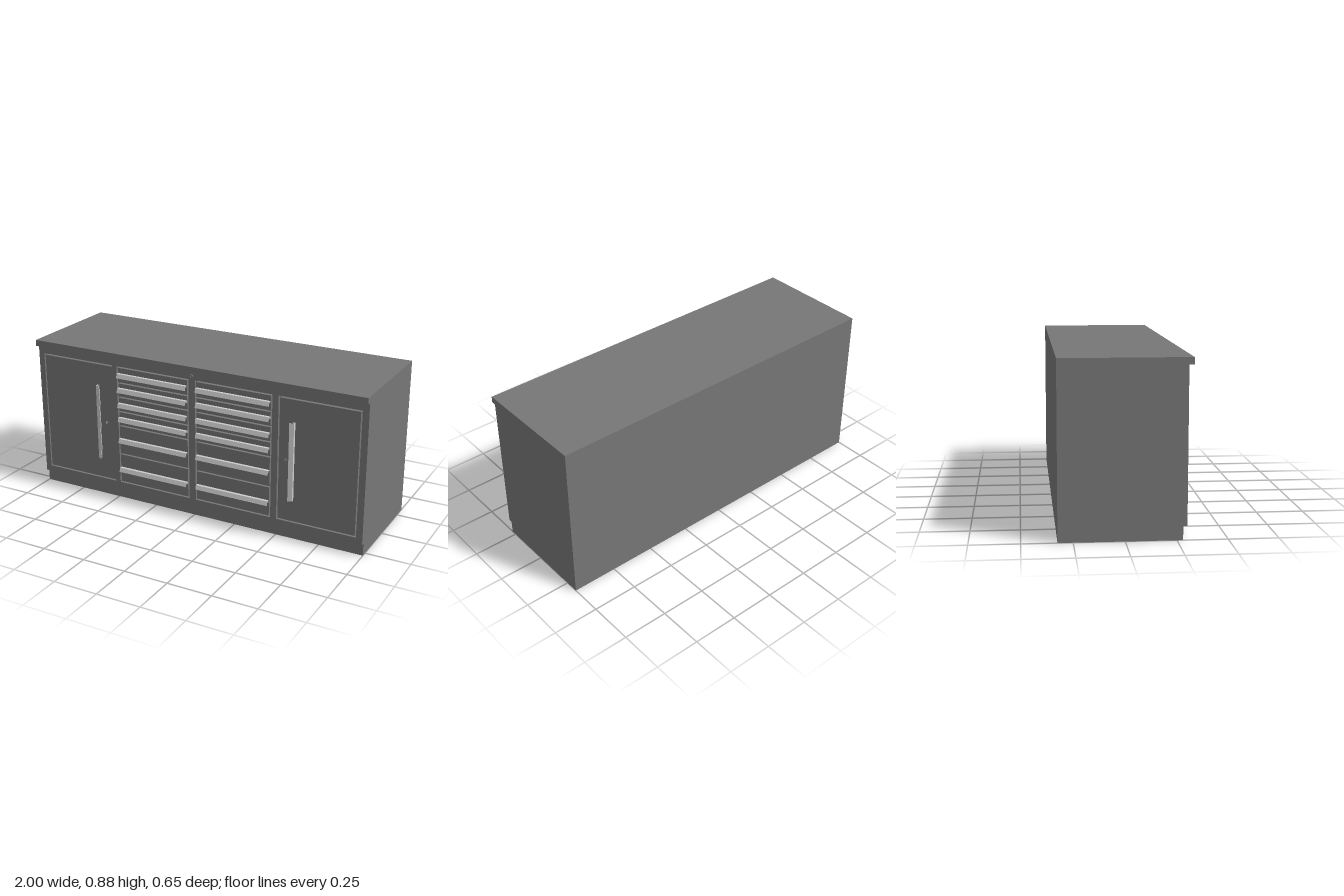
import * as THREE from 'three';

const bodyMat = new THREE.MeshStandardMaterial({ color: 0x777777, flatShading: true });
const metalMat = new THREE.MeshStandardMaterial({ color: 0xcccccc, flatShading: true });

const FRONT = 0.30, INNER = 0.28, BACK = -0.325;

function add(parent, name, geometry, material = bodyMat) {
  const mesh = new THREE.Mesh(geometry, material);
  mesh.name = name;
  parent.add(mesh);
  return mesh;
}

// Box given by its limits on each axis
function box(x0, x1, y0, y1, z0, z1) {
  return new THREE.BoxGeometry(x1 - x0, y1 - y0, z1 - z0)
    .translate((x0 + x1) / 2, (y0 + y1) / 2, (z0 + z1) / 2);
}

function rect(x0, x1, y0, y1, Type = THREE.Shape) {
  const p = new Type();
  p.moveTo(x0, y0).lineTo(x1, y0).lineTo(x1, y1).lineTo(x0, y1).closePath();
  return p;
}

// Plate with rectangular openings, extruded along z
function plate(outer, holes, depth) {
  const shape = rect(...outer);
  holes.forEach(h => shape.holes.push(rect(...h, THREE.Path)));
  return new THREE.ExtrudeGeometry(shape, { depth, bevelEnabled: false });
}

// Bent sheet pull: a flange standing off the front with a slanted lip
function pull(length) {
  const pts = [[-0.002, 0], [0.0165, 0], [0.0235, -0.024], [0.0215, -0.024],
    [0.015, -0.002], [0.002, -0.002], [0.002, -0.014], [-0.002, -0.014]];
  const shape = new THREE.Shape(pts.map(p => new THREE.Vector2(...p)));
  return new THREE.ExtrudeGeometry(shape, { depth: length, bevelEnabled: false })
    .translate(0, 0, -length / 2).rotateY(-Math.PI / 2);
}

function addLock(parent, x, y) {
  const geo = new THREE.CylinderGeometry(0.010, 0.011, 0.008, 24).rotateX(Math.PI / 2);
  add(parent, 'lock', geo).position.set(x, y, FRONT + 0.002);
  const slot = new THREE.BoxGeometry(0.002, 0.01, 0.002);
  add(parent, 'keySlot', slot, metalMat).position.set(x, y, FRONT + 0.006);
}

export function createModel() {
  const model = new THREE.Group();
  model.name = 'workbenchCabinet';

  // Worktop, carcass and hollow plinth
  add(model, 'worktop', box(-1, 1, 0.85, 0.885, BACK, 0.325));
  add(model, 'carcass', box(-1, 1, 0.10, 0.85, BACK, INNER));
  add(model, 'plinth', plate([-1, 1, -INNER, -BACK], [[-0.97, 0.97, -0.126, 0.18]], 0.10)
    .rotateX(-Math.PI / 2));

  // Front frame with one opening for each door and drawer column
  const bottom = 0.105, top = 0.805, gap = 0.008;
  const doors = [[-0.965, -0.505], [0.51, 0.965]];
  const columns = [[-0.475, -0.02], [0.02, 0.475]];
  const holes = [...doors, ...columns].map(([a, b]) => [a, b, bottom, top]);
  add(model, 'frontFrame', plate([-1, 1, 0.07, 0.85], holes, FRONT - INNER).translate(0, 0, INNER));

  // Doors, each with an upright pull and a lock
  doors.forEach(([a, b], i) => {
    const side = i ? 1 : -1;
    const door = new THREE.Group();
    door.name = i ? 'leftDoor' : 'rightDoor';
    const inner = i ? b - gap : b; // one door closes flush against its post
    add(door, 'doorPanel', box(a + gap, inner, bottom + gap, top - gap, INNER - 0.005, FRONT));
    const handle = add(door, 'doorHandle', pull(0.44), metalMat);
    handle.position.set(side * 0.607, 0.455, FRONT);
    handle.rotation.z = -side * Math.PI / 2;
    addLock(door, side * 0.555, 0.455);
    model.add(door);
  });

  // Drawers, from the top down
  const splits = [top, 0.71, 0.626, 0.54, 0.455, 0.283, bottom];
  const pullTops = [0.767, 0.682, 0.593, 0.508, 0.38, 0.203];
  columns.forEach(([a, b], i) => {
    const column = new THREE.Group();
    column.name = i ? 'leftDrawers' : 'rightDrawers';
    pullTops.forEach((y, d) => {
      const y1 = splits[d] - (d === 0 ? gap : gap / 2);
      const y0 = splits[d + 1] + (d === 5 ? gap : gap / 2);
      add(column, 'drawerFront', box(a + gap, b - gap, y0, y1, INNER - 0.005, FRONT));
      const handle = add(column, 'drawerHandle', pull(0.435), metalMat);
      handle.position.set((a + b) / 2, y, FRONT);
    });
    model.add(column);
  });

  // Central lock above the drawers
  addLock(model, 0, 0.825);
  return model;
}
